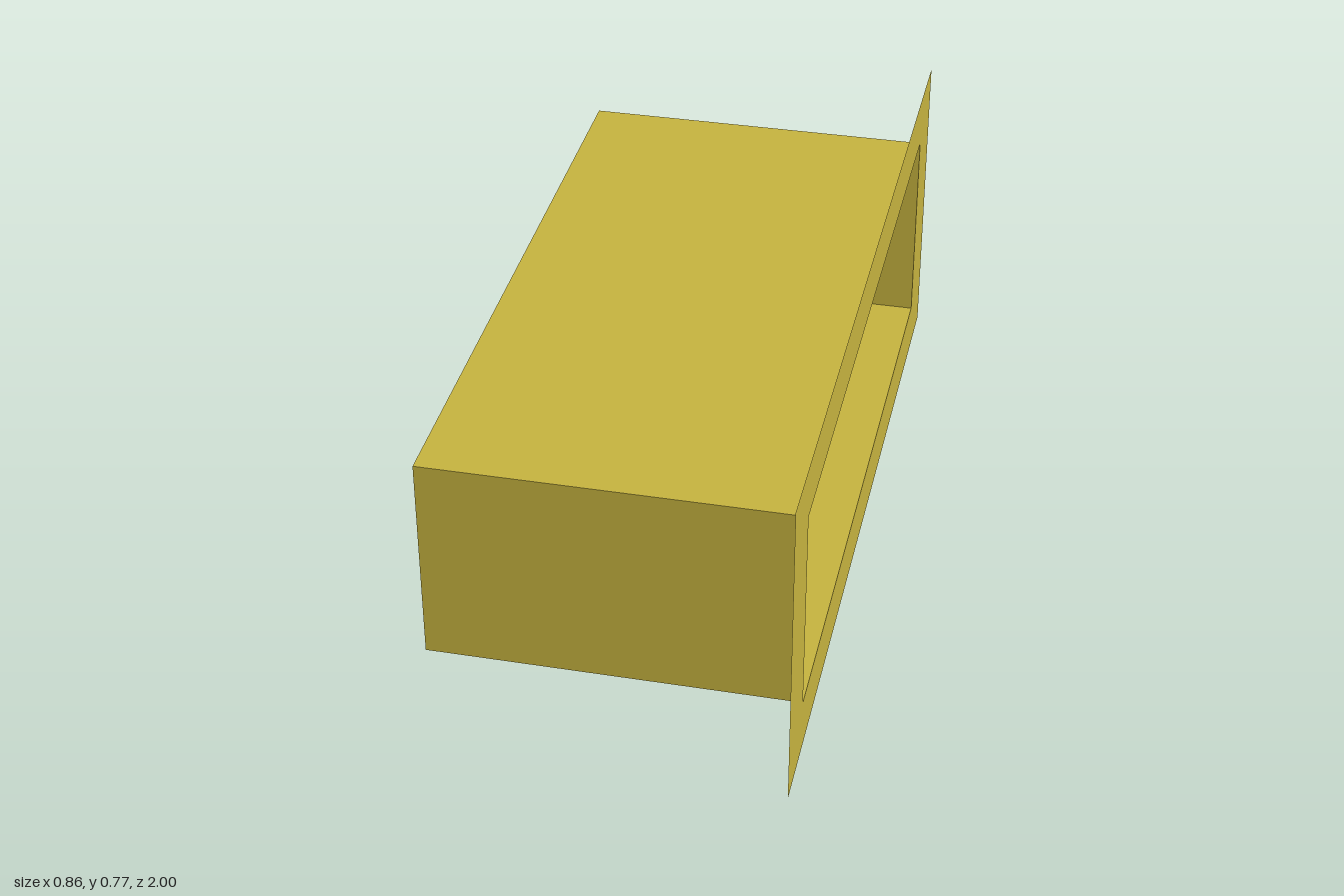
import * as THREE from 'three';

export function createModel() {
  const group = new THREE.Group();
  group.name = 'flangedTray';

  const mustard = new THREE.MeshStandardMaterial({ color: 0xc8b540, side: THREE.DoubleSide });
  mustard.name = 'mustard yellow';

  const depth = 0.86;                         // along x
  const bodyH = 0.506, bodyL = 1.666;         // box opening
  const flangeH = 0.768, flangeL = 2;         // outer rim
  const midY = flangeH / 2;

  // Thin-walled box, open on its +x side
  const bodyGeo = new THREE.BoxGeometry(depth, bodyH, bodyL);
  bodyGeo.setIndex(Array.from(bodyGeo.index.array).slice(6)); // drop the +x face
  bodyGeo.clearGroups();
  const body = new THREE.Mesh(bodyGeo, mustard);
  body.name = 'openBox';
  body.position.y = midY;
  group.add(body);

  // Flat sheet flange around the opening
  const rectangle = (path, w, h) => path
    .moveTo(-w / 2, -h / 2).lineTo(w / 2, -h / 2)
    .lineTo(w / 2, h / 2).lineTo(-w / 2, h / 2).closePath();
  const rim = rectangle(new THREE.Shape(), flangeL, flangeH);
  rim.holes.push(rectangle(new THREE.Path(), bodyL, bodyH));
  const flange = new THREE.Mesh(new THREE.ShapeGeometry(rim), mustard);
  flange.name = 'flange';
  flange.rotation.y = Math.PI / 2;
  flange.position.set(depth / 2, midY, 0);
  group.add(flange);

  return group;
}
